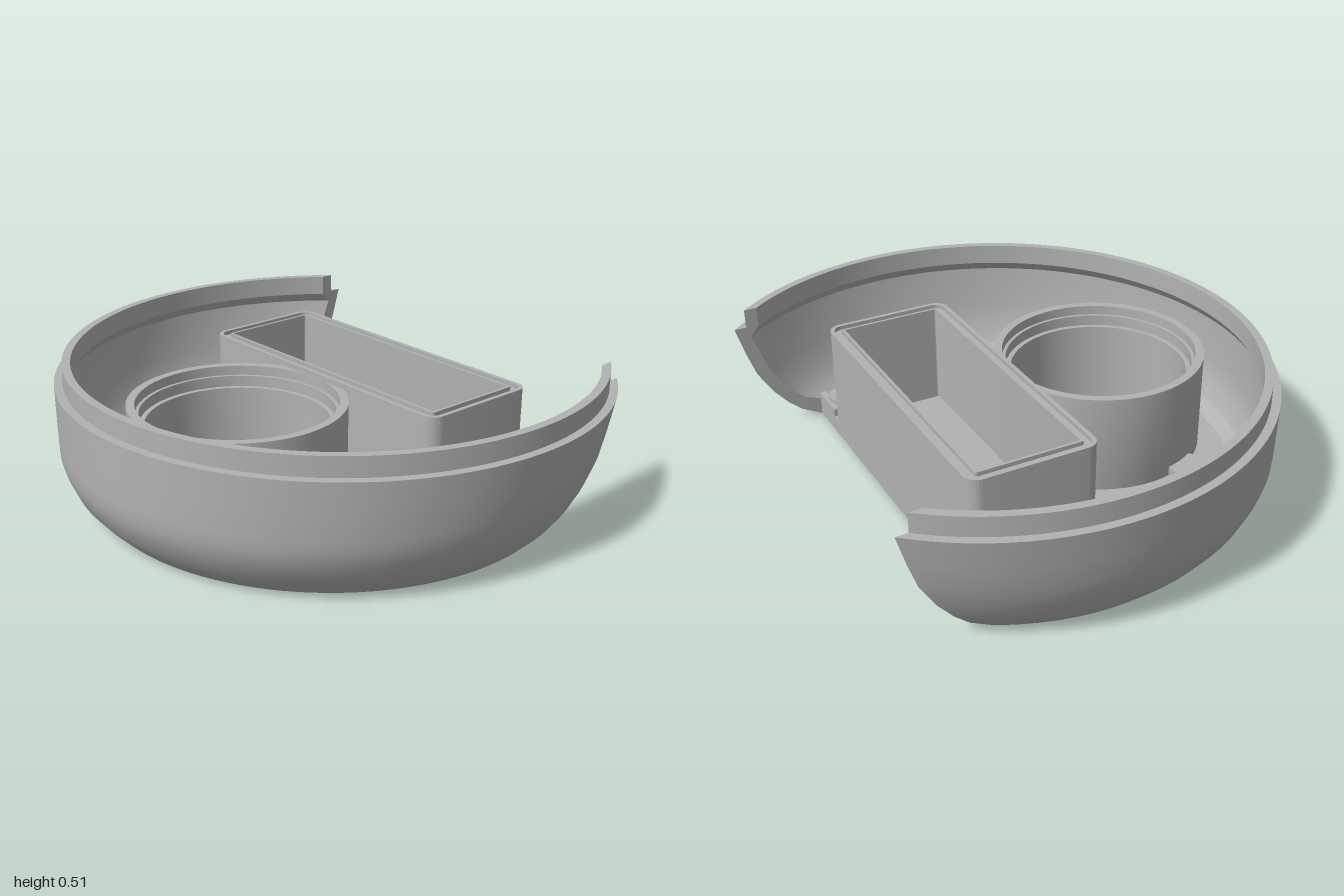
import * as THREE from 'three';
import { toCreasedNormals } from 'three/addons/utils/BufferGeometryUtils.js';

const CUT_Z = 0.735; // half width of the opening in the wall
const CUT_X = 0.537; // straight edge of the floor
const HOLE_X = -0.28; // centre of the large round opening

// Wall cross-section: [y, radius, leftmost x]; the centre drifts with height
const WALL = [
  [0, 0.843, -0.717], [0.04, 0.883, -0.757], [0.085, 0.916, -0.795], [0.147, 0.947, -0.823],
  [0.19, 0.962, -0.835], [0.237, 0.974, -0.836], [0.33, 0.987, -0.836], [0.44, 1, -0.836],
  [0.44, 0.97, -0.805], [0.51, 0.97, -0.805], [0.51, 0.94, -0.775], [0.435, 0.94, -0.775],
  [0.4, 0.963, -0.802], [0.24, 0.94, -0.802], [0.15, 0.913, -0.79], [0.09, 0.878, -0.757],
  [0.06, 0.835, -0.71],
];

function wallGeometry(segments = 120) {
  const n = WALL.length, pos = [], idx = [];
  for (let s = 0; s <= segments; s++) {
    for (const [y, r, left] of WALL) {
      const start = Math.asin(CUT_Z / r);
      const a = start + (2 * Math.PI - 2 * start) * s / segments;
      pos.push(left + r + r * Math.cos(a), y, r * Math.sin(a));
    }
  }
  for (let s = 0; s < segments; s++) {
    for (let i = 0; i < n; i++) {
      const a = s * n + i, b = s * n + (i + 1) % n;
      idx.push(a, b, a + n, b, b + n, a + n);
    }
  }
  // Flat end caps
  const outline = WALL.map((p, i) => new THREE.Vector2(pos[3 * i], p[0]));
  const last = segments * n;
  for (const [a, b, c] of THREE.ShapeUtils.triangulateShape(outline, [])) {
    idx.push(a, c, b, last + a, last + b, last + c);
  }
  const g = new THREE.BufferGeometry();
  g.setAttribute('position', new THREE.Float32BufferAttribute(pos, 3));
  g.setIndex(idx);
  return toCreasedNormals(g, 0.45);
}

function lathe(points, segments) {
  const g = new THREE.LatheGeometry(points.map(p => new THREE.Vector2(...p)), segments);
  return toCreasedNormals(g, 0.45);
}

function circlePath(x, y, r) {
  const p = new THREE.Path();
  p.absarc(x, y, r, 0, Math.PI * 2, true);
  return p;
}

// Extrude a plan shape (x, -z) upward from y0 to y1
function slab(shape, y0, y1) {
  const g = new THREE.ExtrudeGeometry(shape, { depth: y1 - y0, bevelEnabled: false, curveSegments: 48 });
  g.rotateX(-Math.PI / 2).translate(0, y0, 0);
  return toCreasedNormals(g, 0.45);
}

// Rounded rectangle of the box plan, shrunk by an inset
function boxOutline(inset, Type) {
  const x0 = 0.066 + inset, x1 = CUT_X - inset, h = 0.592 - inset;
  const r = Math.max(0.05 - inset, 0.005), p = new Type();
  p.absarc(x1 - r, h - r, r, 0, Math.PI / 2);
  p.absarc(x0 + r, h - r, r, Math.PI / 2, Math.PI);
  p.absarc(x0 + r, -h + r, r, Math.PI, Math.PI * 1.5);
  p.absarc(x1 - r, -h + r, r, Math.PI * 1.5, Math.PI * 2);
  p.closePath();
  return p;
}

function boxFrame(outer, inner, y0, y1) {
  const s = boxOutline(outer, THREE.Shape);
  s.holes.push(boxOutline(inner, THREE.Path));
  return slab(s, y0, y1);
}

export function createModel() {
  const group = new THREE.Group();
  group.name = 'housing';
  const grey = new THREE.MeshStandardMaterial({ color: 0xb2b2b2 });
  grey.name = 'plain grey';
  const add = (name, geometry, x = 0, y = 0, z = 0) => {
    const m = new THREE.Mesh(geometry, grey);
    m.name = name;
    m.position.set(x, y, z);
    group.add(m);
  };

  add('outerWall', wallGeometry());

  // Floor with one straight edge, a round opening and screw holes
  const bosses = [[0.005, 0.46], [0.005, -0.46], [0.455, 0.655], [0.455, -0.655]];
  const cx = 0.126, r = 0.843, a0 = Math.acos((CUT_X - cx) / r);
  const floor = new THREE.Shape();
  floor.absarc(cx, 0, r, a0, Math.PI * 2 - a0);
  floor.closePath();
  floor.holes.push(circlePath(HOLE_X, 0, 0.36));
  for (const [x, z] of bosses) floor.holes.push(circlePath(x, -z, 0.045));
  add('floor', slab(floor, 0, 0.06));

  // Stepped round collar
  add('collar', lathe([
    [0.34, 0], [0.36, 0], [0.38, 0.05], [0.38, 0.42], [0.35, 0.42], [0.35, 0.385], [0.338, 0.385],
    [0.338, 0.345], [0.32, 0.345], [0.32, 0.02], [0.34, 0],
  ], 72), HOLE_X);

  // Open rectangular box with a groove around its rim
  add('boxWall', boxFrame(0, 0.052, 0.06, 0.425));
  add('boxOuterRidge', boxFrame(0, 0.015, 0.425, 0.44));
  add('boxInnerRidge', boxFrame(0.042, 0.052, 0.425, 0.44));

  // Screw bosses, countersunk from below
  const boss = lathe([
    [0.025, 0.03], [0.046, 0.03], [0.07, 0.055], [0.07, 0.105], [0.025, 0.105], [0.025, 0.03],
  ], 32);
  for (const [x, z] of bosses) add('screwBoss', boss, x, 0, z);

  add('solidBoss', new THREE.CylinderGeometry(0.07, 0.07, 0.04, 32), -0.425, 0.075, -0.385);

  // Low rims along the straight floor edge
  for (const s of [1, -1]) {
    add('edgeRim', new THREE.BoxGeometry(0.025, 0.03, 0.15), CUT_X - 0.0125, 0.075, s * 0.662);
  }
  return group;
}
